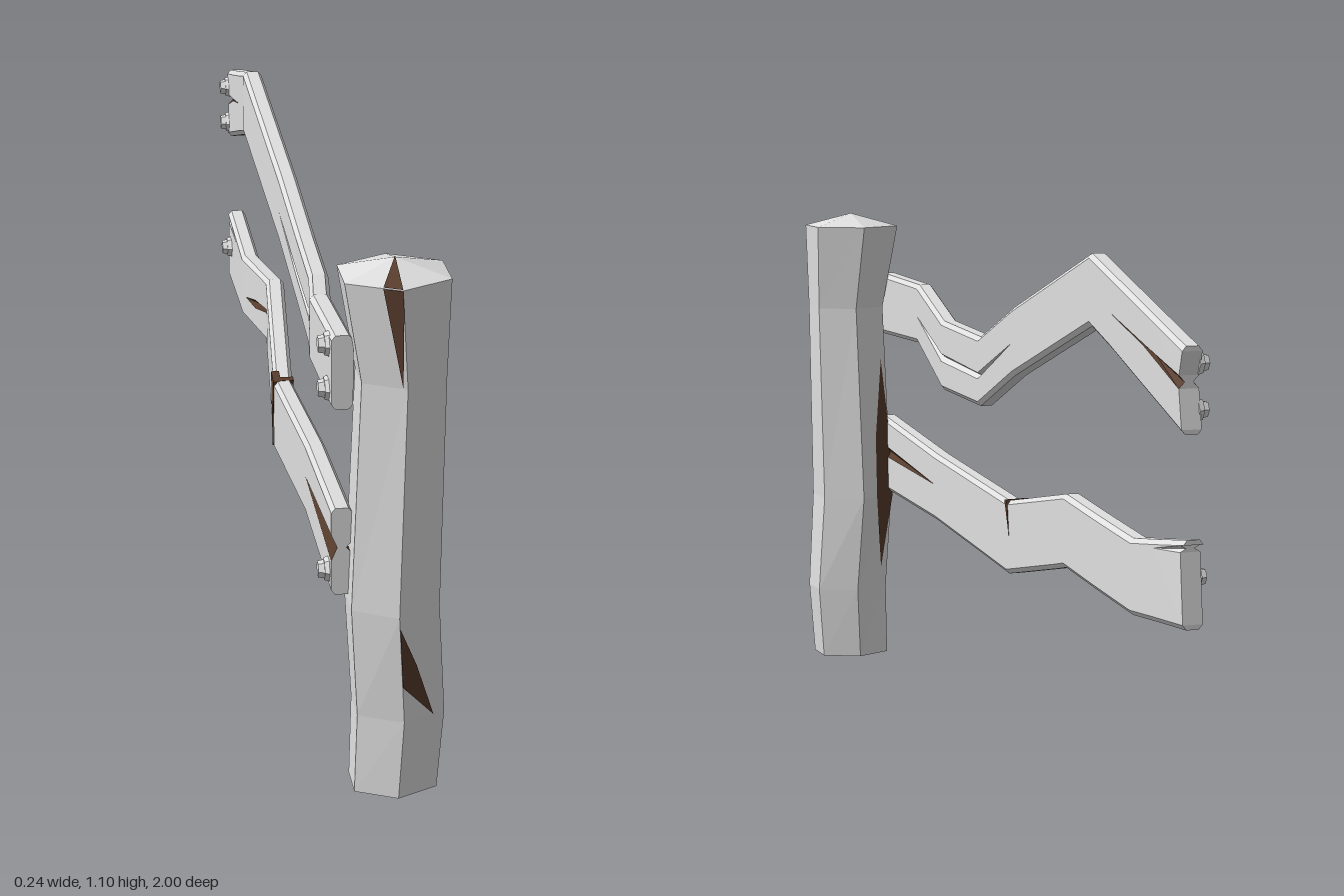
import * as THREE from 'three';

const grey = new THREE.MeshStandardMaterial({ color: 0xe0e0e0, flatShading: true });
grey.name = 'weatheredGrey';
const brown = new THREE.MeshStandardMaterial({ color: 0x583c2c, flatShading: true });
brown.name = 'darkBrown';

// Polygons (fans of corner points) into one flat-faced mesh
function facesMesh(name, faces, material) {
  const p = [];
  for (const f of faces)
    for (let i = 1; i < f.length - 1; i++) p.push(...f[0], ...f[i], ...f[i + 1]);
  const g = new THREE.BufferGeometry();
  g.setAttribute('position', new THREE.Float32BufferAttribute(p, 3));
  g.computeVertexNormals();
  const m = new THREE.Mesh(g, material);
  m.name = name;
  return m;
}

// Post rings: y, x min, x max, z min, z max
const rings = [
  [0, -0.06, 0.105, 0.825, 0.985],
  [0.17, -0.055, 0.118, 0.815, 0.99],
  [0.4, -0.068, 0.105, 0.8, 1.0],
  [0.87, -0.05, 0.113, 0.815, 0.99],
  [1.07, -0.083, 0.12, 0.785, 1.0],
];

function ringCorner([y, x0, x1, z0, z1], k, grow = 0) {
  const a = (k * Math.PI) / 3;
  return [
    (x0 + x1) / 2 + (Math.sin(a) / 0.866) * ((x1 - x0) / 2 + grow),
    y,
    (z0 + z1) / 2 + Math.cos(a) * ((z1 - z0) / 2 + grow),
  ];
}

const mix = (a, b, t) => a.map((v, i) => v + (b[i] - v) * t);

// Point just above the post's surface: u counts corners from the front edge
function onPost([u, y]) {
  let i = 0;
  while (i < rings.length - 2 && y > rings[i + 1][0]) i++;
  const ring = mix(rings[i], rings[i + 1], (y - rings[i][0]) / (rings[i + 1][0] - rings[i][0]));
  const k = Math.floor(u);
  return mix(ringCorner(ring, k, 0.003), ringCorner(ring, k + 1, 0.003), u - k);
}

function makePost() {
  const group = new THREE.Group();
  group.name = 'post';
  const faces = [];
  const apex = [0.02, 1.1, 0.893];
  const top = rings[rings.length - 1];
  for (let k = 0; k < 6; k++) {
    for (let i = 0; i < rings.length - 1; i++)
      faces.push([ringCorner(rings[i], k), ringCorner(rings[i], k + 1),
        ringCorner(rings[i + 1], k + 1), ringCorner(rings[i + 1], k)]);
    faces.push([ringCorner(top, k), ringCorner(top, k + 1), apex]);
  }
  faces.push([5, 4, 3, 2, 1, 0].map((k) => ringCorner(rings[0], k)));
  group.add(facesMesh('postBody', faces, grey));

  // Splits in the wood: top front, lower front, and beside a rear corner
  const patches = [
    [[5.67, 1.07], [5.9, 0.87], [5.999, 1.03], [5.999, 1.07]],
    [[0, 0.38], [0, 0.25], [0.7, 0.17], [0.35, 0.29]],
    [[3.8, 0.74], [3.5, 0.55], [3.45, 0.4], [3.999, 0.4], [3.97, 0.57]],
    [[3.45, 0.4], [3.75, 0.22], [3.999, 0.4]],
  ].map((f) => f.map(onPost));
  const lift = ([x, y, z]) => [x, y + 0.003, z];
  patches.push([lift(apex), lift(onPost([5.67, 1.07])), lift(onPost([5.999, 1.07]))]);
  group.add(facesMesh('postSplits', patches, brown));
  return group;
}

// Rail section with chamfered edges and a V groove (split) on either side
function railSection(s) {
  const { z, x, top, bot, slit = (top + bot) / 2, right = 0, left = 0, notch = 0 } = s;
  const w = 0.021;
  const side = (sign, g) => [
    [w - 0.008, top], [w, top - 0.01], [w, slit + g],
    [g ? w - 0.012 : w, slit], [w, slit - g], [w, bot + 0.01], [w - 0.008, bot],
  ].map(([px, py], i) => [x + sign * px, py, z + (i > 1 && i < 5 ? notch : 0)]);
  return [...side(1, right), ...side(-1, left).reverse()];
}

function makeRail(name, sections) {
  const group = new THREE.Group();
  group.name = name;
  const loops = sections.map(railSection);
  const wood = [], dark = [];
  for (let s = 0; s < loops.length - 1; s++) {
    const a = loops[s], b = loops[s + 1];
    for (let i = 0; i < 14; i++) {
      const j = (i + 1) % 14;
      const inGroove = [2, 3, 9, 10].includes(i) && sections[s].dark;
      (inGroove ? dark : wood).push([a[i], a[j], b[j], b[i]]);
    }
  }
  // End caps
  const first = loops[0], last = loops[loops.length - 1];
  for (let i = 0; i < 6; i++) {
    wood.push([first[i], first[13 - i], first[12 - i], first[i + 1]]);
    wood.push([last[i + 1], last[12 - i], last[13 - i], last[i]]);
  }
  group.add(facesMesh(name + 'Wood', wood, grey), facesMesh(name + 'Splits', dark, brown));
  return group;
}

// Hexagonal washer and bolt head on the rail's outer face
function makeBolt(y, z) {
  const group = new THREE.Group();
  group.name = 'bolt';
  for (const [r, len, x] of [[0.026, 0.012, -0.104], [0.019, 0.014, -0.115]]) {
    const part = new THREE.Mesh(new THREE.CylinderGeometry(r * 0.85, r, len, 6), grey);
    part.rotation.z = Math.PI / 2;
    part.position.set(x, y, z);
    part.name = r > 0.02 ? 'washer' : 'boltHead';
    group.add(part);
  }
  return group;
}

// Narrow wedge-shaped crack across a rail, running from x towards -x
function makeCrack(points, x, depth) {
  const shape = new THREE.Shape(points.map(([z, y]) => new THREE.Vector2(z, y)));
  const m = new THREE.Mesh(new THREE.ExtrudeGeometry(shape, { depth, bevelEnabled: false }), brown);
  m.rotation.y = -Math.PI / 2;
  m.position.x = x;
  m.name = 'railCrack';
  return m;
}

export function createModel() {
  const model = new THREE.Group();
  model.name = 'brokenFence';
  model.add(makePost());

  model.add(makeRail('upperRail', [
    { z: 0.9, x: -0.08, top: 0.95, bot: 0.8 },
    { z: 0.64, x: -0.088, top: 0.94, bot: 0.8, slit: 0.865 },
    { z: 0.35, x: -0.052, top: 0.88, bot: 0.72, slit: 0.795, right: 0.009, left: 0.009 },
    { z: 0.07, x: -0.042, top: 0.87, bot: 0.715, slit: 0.783, right: 0.007, left: 0.007 },
    { z: -0.1, x: -0.06, top: 0.95, bot: 0.8, slit: 0.872 },
    { z: -0.46, x: -0.097, top: 1.09, bot: 0.94 },
    { z: -0.58, x: -0.094, top: 1.057, bot: 0.905, slit: 0.98, dark: true },
    { z: -0.78, x: -0.087, top: 1.004, bot: 0.843, slit: 0.932, right: 0.002, left: 0.002, dark: true },
    { z: -0.985, x: -0.08, top: 0.95, bot: 0.78, slit: 0.88, right: 0.013, left: 0.013, notch: 0.015 },
  ]));

  model.add(makeRail('lowerRail', [
    { z: 0.9, x: -0.08, top: 0.595, bot: 0.412, slit: 0.512, right: 0.014, left: 0.028, dark: true },
    { z: 0.47, x: -0.075, top: 0.553, bot: 0.395, slit: 0.48 },
    { z: 0, x: -0.085, top: 0.51, bot: 0.345 },
    { z: -0.38, x: -0.055, top: 0.579, bot: 0.422, slit: 0.525, dark: true },
    { z: -0.44, x: -0.05, top: 0.59, bot: 0.435, slit: 0.513, left: 0.004, dark: true },
    { z: -0.58, x: -0.06, top: 0.569, bot: 0.414, slit: 0.48, left: 0.01, dark: true },
    { z: -0.7, x: -0.069, top: 0.552, bot: 0.397, slit: 0.455 },
    { z: -0.75, x: -0.073, top: 0.545, bot: 0.39 },
    { z: -0.86, x: -0.076, top: 0.56, bot: 0.397, slit: 0.543 },
    { z: -1, x: -0.08, top: 0.58, bot: 0.405, slit: 0.561, right: 0.007, left: 0.007, notch: 0.015 },
  ]));

  // Crack over the lower rail's middle: long on one face, short on the other
  model.add(makeCrack([[-0.034, 0.519], [-0.012, 0.35], [0.012, 0.511]], -0.09, 0.0175));
  model.add(makeCrack([[-0.008, 0.514], [-0.022, 0.435], [0.006, 0.511]], -0.0615, 0.0285));

  for (const [y, z] of [
    [0.92, 0.86], [0.83, 0.86], [0.915, -0.958], [0.825, -0.958],
    [0.45, 0.86], [0.5, -0.955],
  ]) model.add(makeBolt(y, z));
  return model;
}
